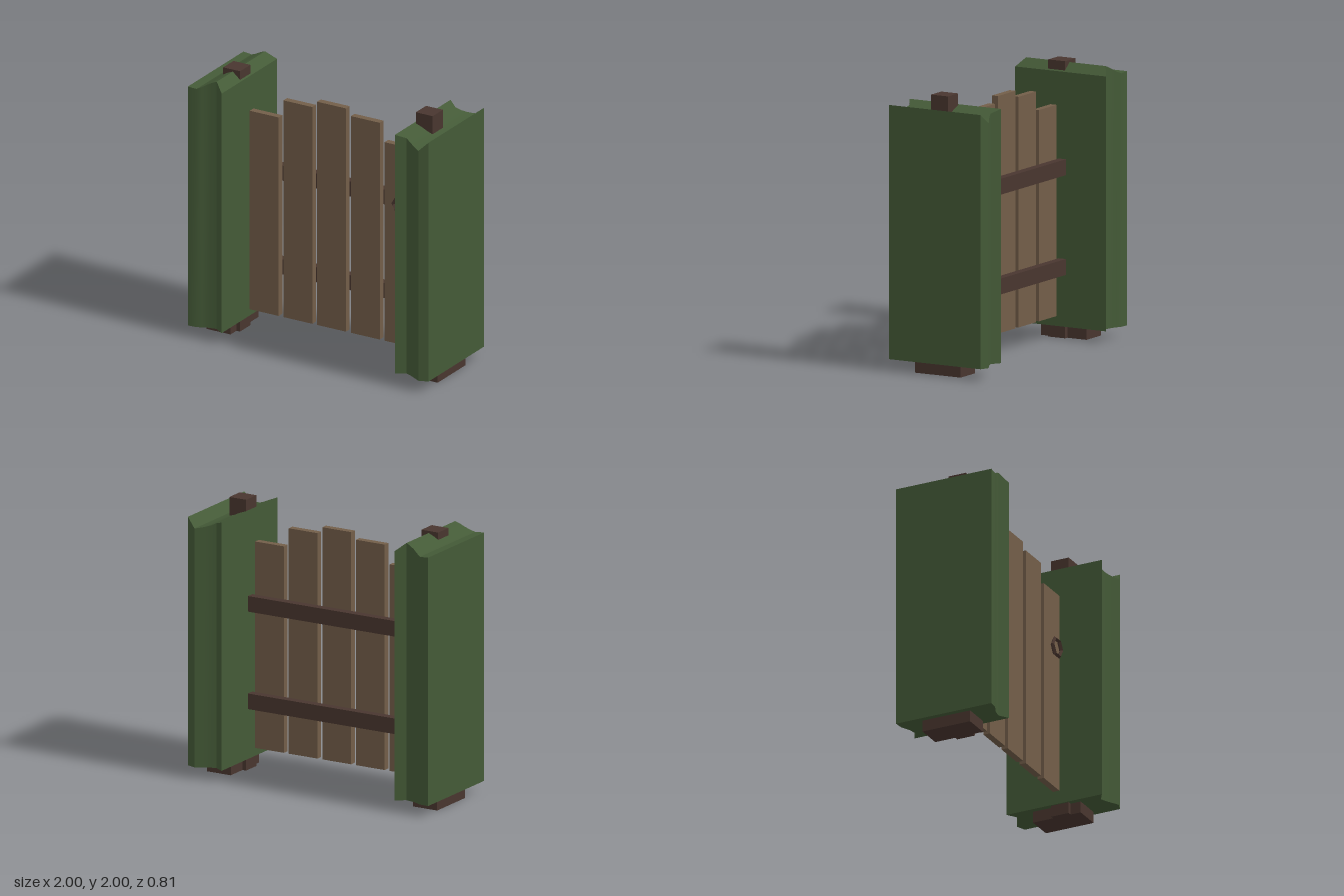
import * as THREE from 'three';
import { toCreasedNormals } from 'three/addons/utils/BufferGeometryUtils.js';

export function createModel() {
  const mat = (name, color) => {
    const m = new THREE.MeshStandardMaterial({ color });
    m.name = name;
    return m;
  };
  const green = mat('hedge green', 0x445a37);
  const plankBrown = mat('plank brown', 0x735e49);
  const darkBrown = mat('dark brown', 0x49362f);

  const group = new THREE.Group();
  const add = (name, geometry, material) => {
    const mesh = new THREE.Mesh(geometry, material);
    mesh.name = name;
    group.add(mesh);
    return mesh;
  };
  // Box given by its min and max corners
  const box = (name, material, [x0, y0, z0], [x1, y1, z1]) => {
    const mesh = add(name, new THREE.BoxGeometry(x1 - x0, y1 - y0, z1 - z0), material);
    mesh.position.set((x0 + x1) / 2, (y0 + y1) / 2, (z0 + z1) / 2);
  };

  // Pillar: rectangular sections along x, each [x, half depth, top height]
  const pillar = (name, sections) => {
    const n = sections.length - 1;
    const g = new THREE.BoxGeometry(1, 1, 1, n, 1, 1);
    const p = g.attributes.position;
    for (let i = 0; i < p.count; i++) {
      const [x, depth, top] = sections[Math.round((p.getX(i) + 0.5) * n)];
      p.setXYZ(i, x, p.getY(i) > 0 ? top : 0.085, Math.sign(p.getZ(i)) * depth);
    }
    add(name, toCreasedNormals(g, 0.42), green);
  };
  pillar('rightPillar', [
    [-1, 0.38, 1.92], [-0.93, 0.375, 1.915], [-0.895, 0.358, 1.931],
    [-0.86, 0.343, 1.952], [-0.825, 0.336, 1.971], [-0.79, 0.33, 1.985], [-0.72, 0.378, 1.925],
  ]);
  pillar('leftPillar', [
    [0.72, 0.38, 1.92], [0.79, 0.335, 1.893], [0.825, 0.348, 1.876],
    [0.86, 0.365, 1.864], [0.895, 0.385, 1.856], [0.93, 0.405, 1.85], [1, 0.38, 1.92],
  ]);

  // Posts through the pillars and their footings
  for (const [side, s] of [['left', 1], ['right', -1]]) {
    const span = (a, b) => (s > 0 ? [a, b] : [-b, -a]);
    const [p0, p1] = span(0.73, 0.87);
    box(side + 'Post', darkBrown, [p0, 0, -0.03], [p1, 2, 0.11]);
    const [f0, f1] = span(0.76, 0.96);
    box(side + 'Footing', darkBrown, [f0, 0, -0.19], [f1, 0.12, 0.19]);
  }

  // Gate planks, tallest in the middle
  [1.69, 1.83, 1.88, 1.83, 1.69].forEach((top, i) => {
    const x = (i - 2) * 0.28;
    box('plank' + (i + 1), plankBrown, [x - 0.12, 0.165, 0.01], [x + 0.12, top, 0.06]);
  });

  // Cross rails behind the planks
  box('lowerRail', darkBrown, [-0.7, 0.465, -0.055], [0.7, 0.58, 0.005]);
  box('upperRail', darkBrown, [-0.7, 1.185, -0.055], [0.7, 1.3, 0.005]);

  // Hexagonal ring handle
  const handle = add('ringHandle', new THREE.TorusGeometry(0.068, 0.015, 4, 6).toNonIndexed(), darkBrown);
  handle.geometry.computeVertexNormals();
  handle.position.set(0.595, 1.245, 0.085);

  return group;
}
